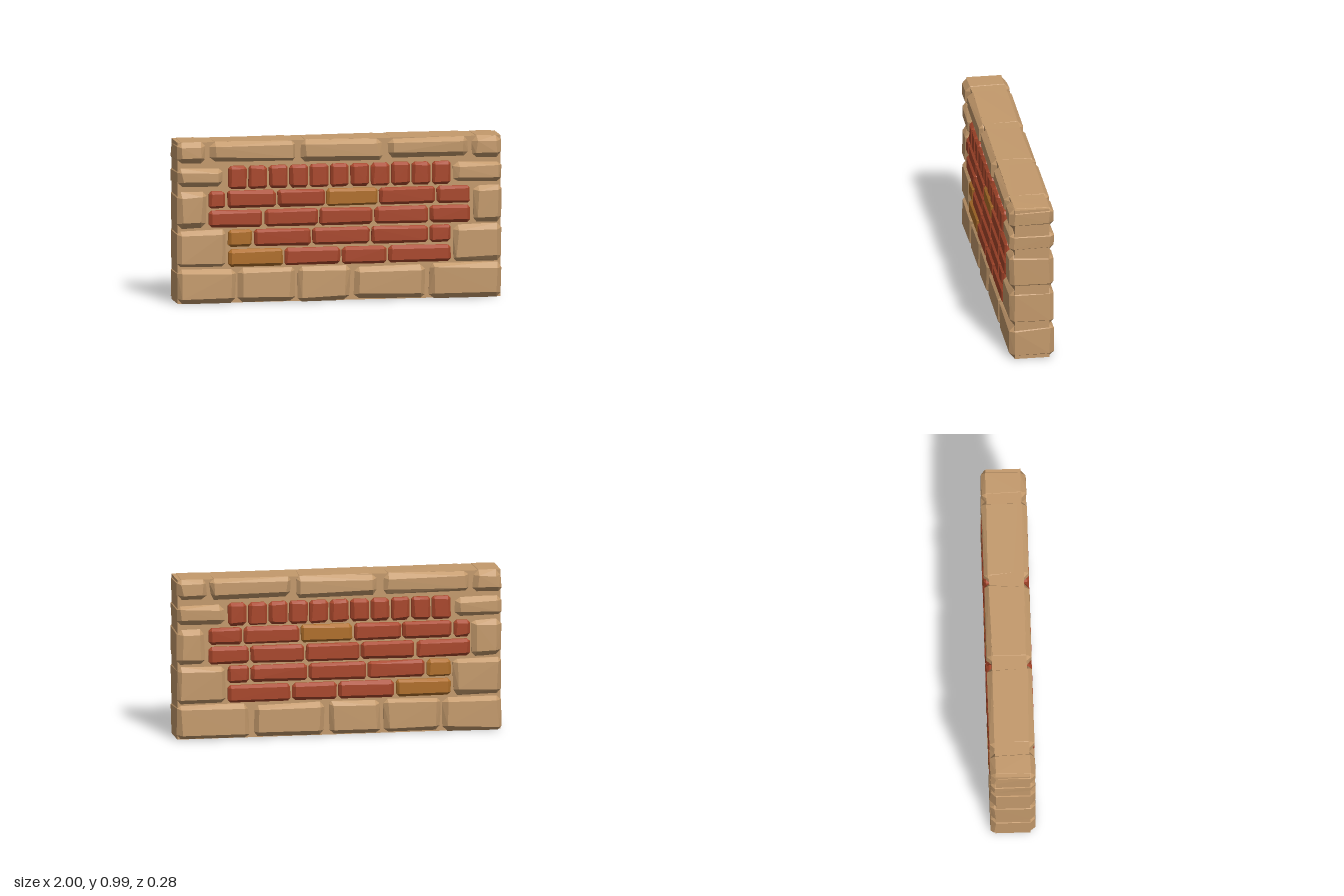
import * as THREE from 'three';
import { ConvexGeometry } from 'three/addons/geometries/ConvexGeometry.js';

const HEIGHT = 0.992;

// small seeded generator for the hand-cut irregularity, returns -1..1
function makeNoise(seed) {
  let s = seed;
  return () => {
    s = (s * 16807) % 2147483647;
    return (s / 2147483647) * 2 - 1;
  };
}

// block with all edges chamfered; three points per corner, slightly jittered
function chamferedBlock([x0, x1, y0, y1], depth, bevel, jitter, noise) {
  const cx = (x0 + x1) / 2, cy = (y0 + y1) / 2;
  const hx = (x1 - x0) / 2, hy = (y1 - y0) / 2;
  const points = [];
  for (const sx of [-1, 1]) for (const sy of [-1, 1]) for (const sz of [-1, 1]) {
    const b = bevel * (1 + 0.25 * noise());
    const corner = [
      [hx, hy - b, depth - b * 1.1],
      [hx - b, hy, depth - b * 1.1],
      [hx - b * 1.1, hy - b * 1.1, depth],
    ];
    for (const [x, y, z] of corner) {
      const px = cx + sx * x + jitter * noise();
      const py = cy + sy * y + jitter * noise();
      const pz = sz * (z + jitter * 0.4 * noise());
      // outer sides stay flush with the wall's ends, base and top
      points.push(new THREE.Vector3(
        THREE.MathUtils.clamp(px, -1, 1),
        THREE.MathUtils.clamp(py, 0, HEIGHT), pz));
    }
  }
  return new ConvexGeometry(points);
}

export function createModel() {
  const wall = new THREE.Group();
  wall.name = 'brickWall';
  const sandstone = new THREE.MeshStandardMaterial({ color: 0xc49a6c });
  sandstone.name = 'sandstone';
  const redBrick = new THREE.MeshStandardMaterial({ color: 0xa9472b });
  redBrick.name = 'redBrick';
  const ochreBrick = new THREE.MeshStandardMaterial({ color: 0xb06f2a });
  ochreBrick.name = 'ochreBrick';
  const noise = makeNoise(4711);

  // mortar core
  const core = new THREE.Mesh(new THREE.BoxGeometry(1.99, HEIGHT - 0.006, 0.212), sandstone);
  core.name = 'mortarCore';
  core.position.y = HEIGHT / 2;
  wall.add(core);

  // stone frame: x0, x1, y0, y1
  const stones = {
    baseStone: [
      [-1, -0.635, 0, 0.215], [-0.625, -0.275, 0.004, 0.212], [-0.255, 0.065, 0.002, 0.212],
      [0.09, 0.53, 0.004, 0.207], [0.555, 1, 0, 0.215],
    ],
    leftEndStone: [[0.7, 1, 0.225, 0.45], [0.825, 1, 0.465, 0.685], [0.705, 1, 0.71, 0.832]],
    rightEndStone: [[-1, -0.7, 0.225, 0.45], [-1, -0.815, 0.462, 0.685], [-0.998, -0.715, 0.712, 0.83]],
    copingStone: [
      [-1, -0.825, 0.86, 0.992], [-0.8, -0.27, 0.865, 0.992], [-0.24, 0.265, 0.858, 0.992],
      [0.295, 0.795, 0.865, 0.992], [0.815, 1, 0.86, 0.992],
    ],
  };
  for (const [name, list] of Object.entries(stones)) {
    list.forEach((rect, i) => {
      const mesh = new THREE.Mesh(chamferedBlock(rect, 0.137, 0.027, 0.005, noise), sandstone);
      mesh.name = name + (i + 1);
      wall.add(mesh);
    });
  }

  // brick courses: y range, [x0, x1] of each brick, indices of ochre bricks
  const uprights = Array.from({ length: 11 }, (_, i) => [-0.685 + i * 0.1257, -0.571 + i * 0.1257]);
  const courses = [
    { y: [0.226, 0.33], ochre: [0], x: [[-0.685, -0.35], [-0.338, 0.005], [0.016, 0.29], [0.302, 0.685]] },
    { y: [0.346, 0.45], ochre: [0], x: [[-0.685, -0.54], [-0.525, -0.178], [-0.166, 0.187], [0.198, 0.545], [0.557, 0.685]] },
    { y: [0.465, 0.57], ochre: [], x: [[-0.805, -0.476], [-0.46, -0.133], [-0.122, 0.205], [0.218, 0.545], [0.557, 0.803]] },
    { y: [0.584, 0.688], ochre: [3], x: [[-0.805, -0.706], [-0.69, -0.39], [-0.38, -0.09], [-0.08, 0.235], [0.245, 0.588], [0.6, 0.803]] },
    { y: [0.7, 0.84], ochre: [], x: uprights },
  ];
  courses.forEach((course, row) => {
    const group = new THREE.Group();
    group.name = 'brickCourse' + (row + 1);
    course.x.forEach(([x0, x1], i) => {
      const geometry = chamferedBlock([x0, x1, ...course.y], 0.139, 0.016, 0.002, noise);
      const mesh = new THREE.Mesh(geometry, course.ochre.includes(i) ? ochreBrick : redBrick);
      mesh.name = 'brick' + (i + 1);
      group.add(mesh);
    });
    wall.add(group);
  });
  return wall;
}
